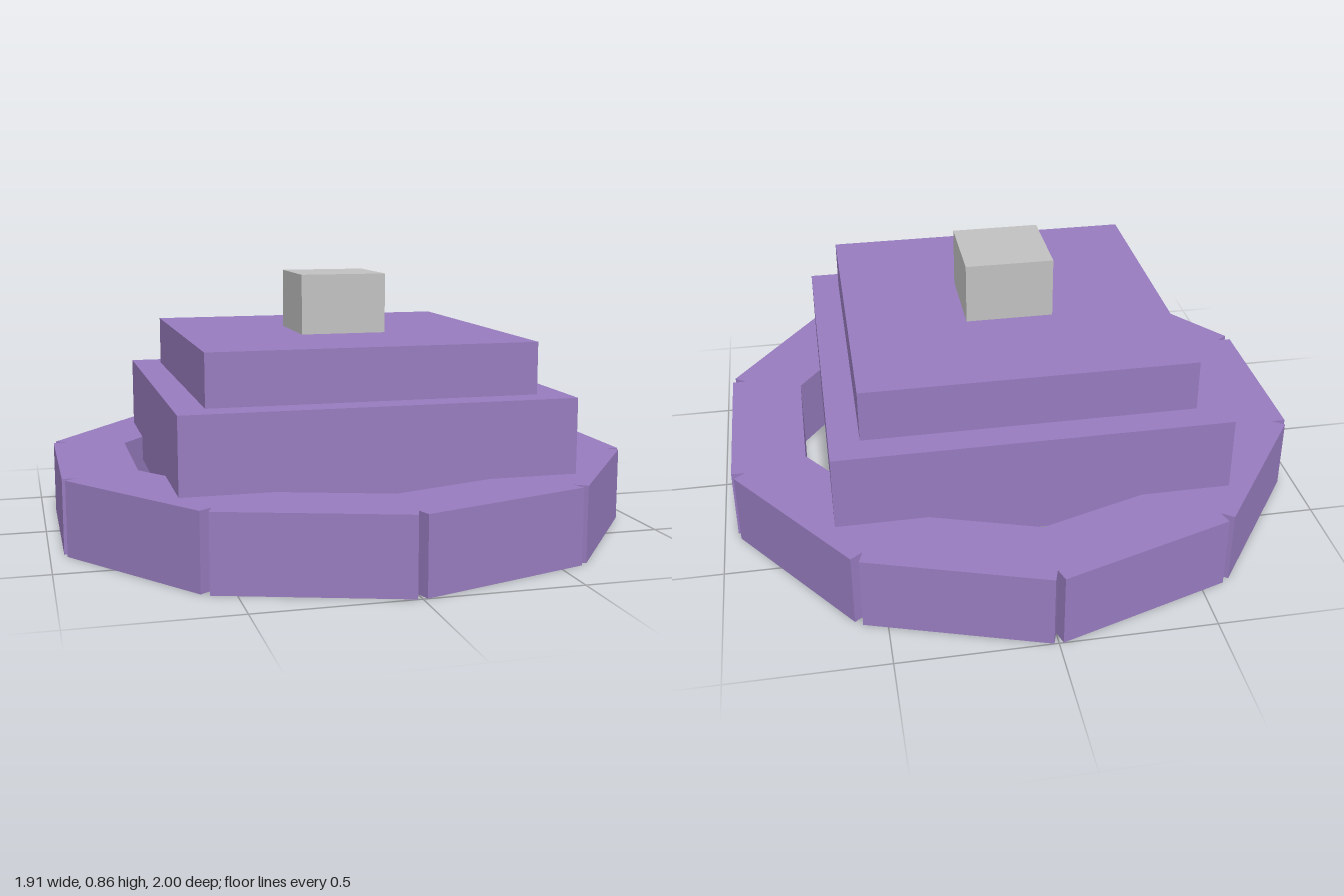
import * as THREE from 'three';

export function createModel() {
  const model = new THREE.Group();
  model.name = 'steppedPedestal';

  const purple = new THREE.MeshStandardMaterial({ color: 0x967bbd });
  purple.name = 'purple';
  const grey = new THREE.MeshStandardMaterial({ color: 0xc0c0c0 });
  grey.name = 'lightGrey';

  // Box given by its width, depth and the heights of its bottom and top
  function block(name, width, depth, bottom, top, material) {
    const geometry = new THREE.BoxGeometry(width, top - bottom, depth);
    geometry.translate(0, (bottom + top) / 2, 0);
    const mesh = new THREE.Mesh(geometry, material);
    mesh.name = name;
    return mesh;
  }

  // Base ring: ten straight blocks, overlapping inside and notched outside
  const ring = new THREE.Group();
  ring.name = 'baseRing';
  const sides = 10, inner = 0.71, outer = 0.955, length = 0.59;
  for (let i = 0; i < sides; i++) {
    const segment = block('ringSegment', outer - inner, length, 0, 0.245, purple);
    segment.geometry.translate((inner + outer) / 2, 0, 0);
    segment.rotation.y = (i / sides) * Math.PI * 2;
    ring.add(segment);
  }
  model.add(ring);

  // Square tiers; the lower one sinks into the ring
  model.add(block('lowerTier', 1.27, 1.27, 0.16, 0.49, purple));
  model.add(block('upperTier', 1.075, 1.075, 0.49, 0.66, purple));

  // Cube on top
  model.add(block('topBlock', 0.29, 0.29, 0.66, 0.86, grey));

  return model;
}
